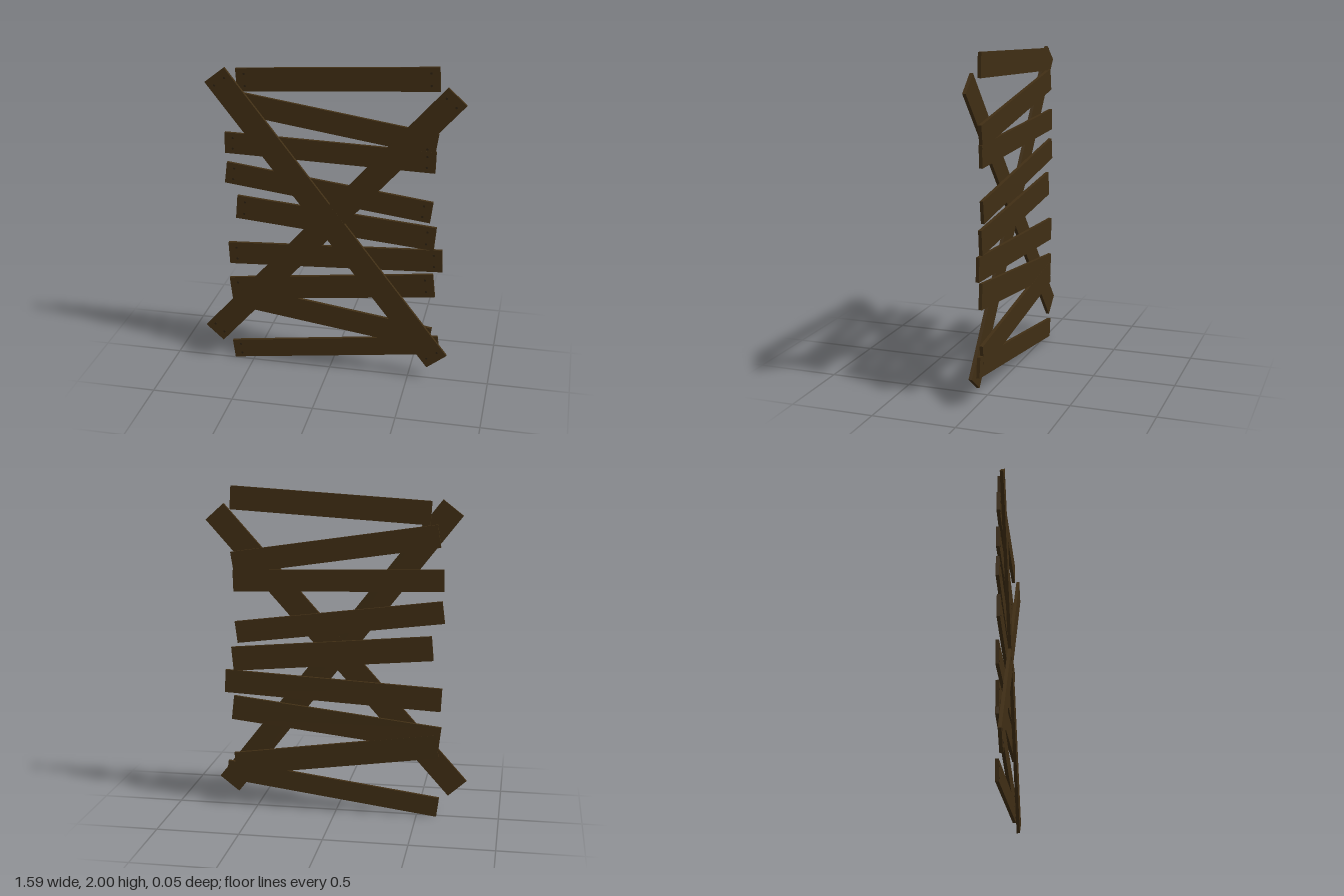
import * as THREE from 'three';

export function createModel() {
  const group = new THREE.Group();
  group.name = 'boardedPlanks';
  const wood = new THREE.MeshStandardMaterial({ color: 0x402e14 });
  wood.name = 'dark brown wood';
  const iron = new THREE.MeshStandardMaterial({ color: 0x2c2010 });
  iron.name = 'dark nail';

  const nailGeo = new THREE.CylinderGeometry(0.007, 0.007, 0.004, 8).rotateX(Math.PI / 2);

  // A board between two end centres, with a pair of nails at each end
  function plank(name, x0, y0, x1, y1, width, z, depth) {
    const board = new THREE.Group();
    board.name = name;
    const length = Math.hypot(x1 - x0, y1 - y0);
    const body = new THREE.Mesh(new THREE.BoxGeometry(length, width, depth), wood);
    body.name = name + 'Board';
    board.add(body);
    for (const sx of [-1, 1]) for (const sy of [-1, 1]) {
      const nail = new THREE.Mesh(nailGeo, iron);
      nail.name = 'nail';
      nail.position.set(sx * (length / 2 - 0.05), sy * width * 0.26, depth / 2);
      board.add(nail);
    }
    board.position.set((x0 + x1) / 2, (y0 + y1) / 2, z);
    board.rotation.z = Math.atan2(y1 - y0, x1 - x0);
    group.add(board);
  }

  // Crooked horizontal slats, top to bottom: left end, right end, width
  const slats = [
    [-0.56, 1.857, 0.635, 1.93, 0.14],
    [-0.61, 1.725, 0.63, 1.538, 0.135],
    [-0.643, 1.465, 0.627, 1.43, 0.13],
    [-0.643, 1.275, 0.613, 1.115, 0.133],
    [-0.582, 1.055, 0.64, 0.947, 0.148],
    [-0.64, 0.74, 0.688, 0.807, 0.142],
    [-0.635, 0.495, 0.643, 0.64, 0.15],
    [-0.62, 0.45, 0.63, 0.275, 0.145],
    [-0.63, 0.063, 0.685, 0.235, 0.121],
  ];
  slats.forEach((s, i) => plank('slat' + (i + 1), ...s, -0.0145 - (i % 2) * 0.001, 0.02));

  // Two diagonal braces crossing over the front
  plank('braceFalling', -0.685, 1.888, 0.68, 0.135, 0.152, 0.0135, 0.02);
  plank('braceRising', -0.745, 0.183, 0.74, 1.842, 0.147, 0.0125, 0.02);
  return group;
}
